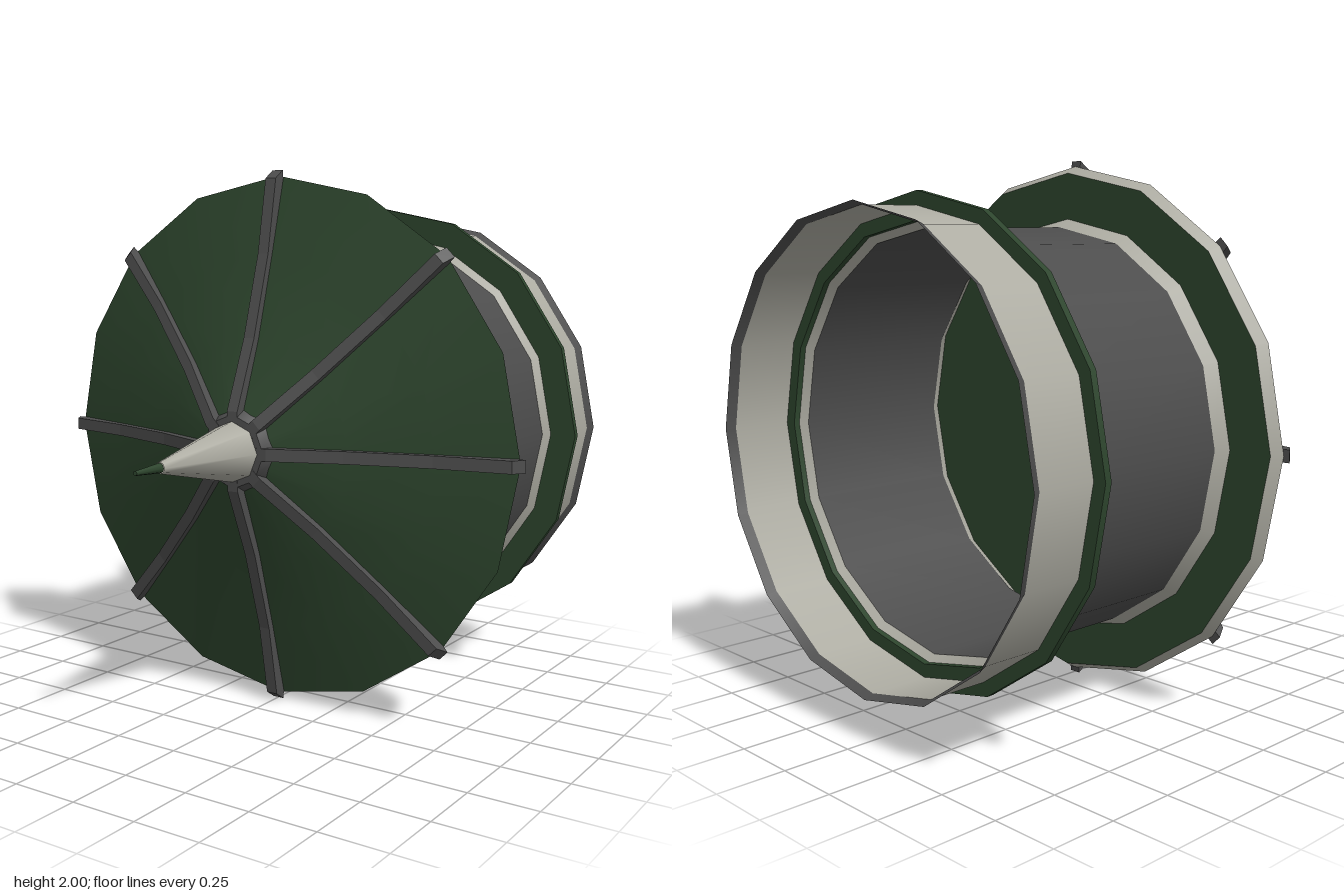
import * as THREE from 'three';

const SIDES = 16;
const makeMat = (name, color) => {
  const m = new THREE.MeshStandardMaterial({ color, side: THREE.DoubleSide });
  m.name = name;
  return m;
};

export function createModel() {
  const green = makeMat('dark green', 0x2d452d);
  const dark = makeMat('dark grey', 0x4d4d4d);
  const beige = makeMat('warm grey', 0xaeada3);

  const model = new THREE.Group();
  model.name = 'spikedDrum';
  // Parts are turned about local y, which points to the front
  const body = new THREE.Group();
  body.name = 'body';
  body.rotation.x = Math.PI / 2;
  body.position.y = 1;
  model.add(body);

  const add = (name, geometry, material) => {
    const mesh = new THREE.Mesh(geometry, material);
    mesh.name = name;
    body.add(mesh);
    return mesh;
  };
  // Turned part from [radius, forward] pairs
  const turned = (name, material, points, sides = SIDES) =>
    add(name, new THREE.LatheGeometry(points.map(p => new THREE.Vector2(...p)), sides), material);

  // Front shield: concave cone, bevelled rim and flat back
  turned('shield', green, [[0.98, 0.1], [0.7, 0.175], [0.4, 0.262], [0.1, 0.375]]);
  turned('shieldRim', beige, [[0.955, 0.06], [0.98, 0.1]]);
  turned('shieldBack', green, [[0, 0.06], [0.955, 0.06]]);

  // Open drum with flared collars
  turned('frontCollar', beige, [[0.755, 0.015], [0.785, 0.06]]);
  turned('drum', dark, [[0.755, -0.615], [0.755, 0.015]]);
  turned('rearCollar', beige, [[0.78, -0.64], [0.755, -0.615]]);

  // Rear flange: two faces and an edge
  turned('flangeFront', green, [[0.88, -0.637], [0.78, -0.637]]);
  turned('flangeEdge', green, [[0.88, -0.663], [0.88, -0.637]]);
  turned('flangeBack', green, [[0.78, -0.663], [0.88, -0.663]]);
  turned('flangeBore', green, [[0.78, -0.637], [0.78, -0.663]]);

  // Rear sleeve and its lip
  turned('rearSleeve', beige, [[0.83, -0.89], [0.83, -0.663]]);
  turned('rearLip', dark, [[0.845, -0.925], [0.83, -0.89]]);

  // Hub and spike
  turned('hub', dark, [[0.165, 0.34], [0.135, 0.395]], 8);
  turned('hubFace', dark, [[0.135, 0.395], [0, 0.4]], 8);
  turned('spike', beige, [[0.11, 0.398], [0.02, 0.8]], 8);
  turned('spikeTip', green, [[0.018, 0.8], [0.008, 0.925]], 8);
  turned('spikeTipEnd', green, [[0.008, 0.925], [0, 0.925]], 8);

  // Eight curved ribs over the shield
  const ribWidth = 0.045;
  const profile = [
    [0.1, 0.34], [0.4, 0.245], [0.7, 0.155], [0.96, 0.1], [1.0, 0.105],
    [0.97, 0.15], [0.7, 0.2], [0.4, 0.29], [0.145, 0.395], [0.1, 0.398],
  ];
  const ribGeometry = new THREE.ExtrudeGeometry(
    new THREE.Shape(profile.map(p => new THREE.Vector2(...p))),
    { depth: ribWidth, bevelEnabled: false });
  ribGeometry.translate(0, 0, -ribWidth / 2);
  for (let i = 0; i < 8; i++) {
    add('rib' + (i + 1), ribGeometry, dark).rotation.y = i * Math.PI / 4;
  }

  return model;
}
